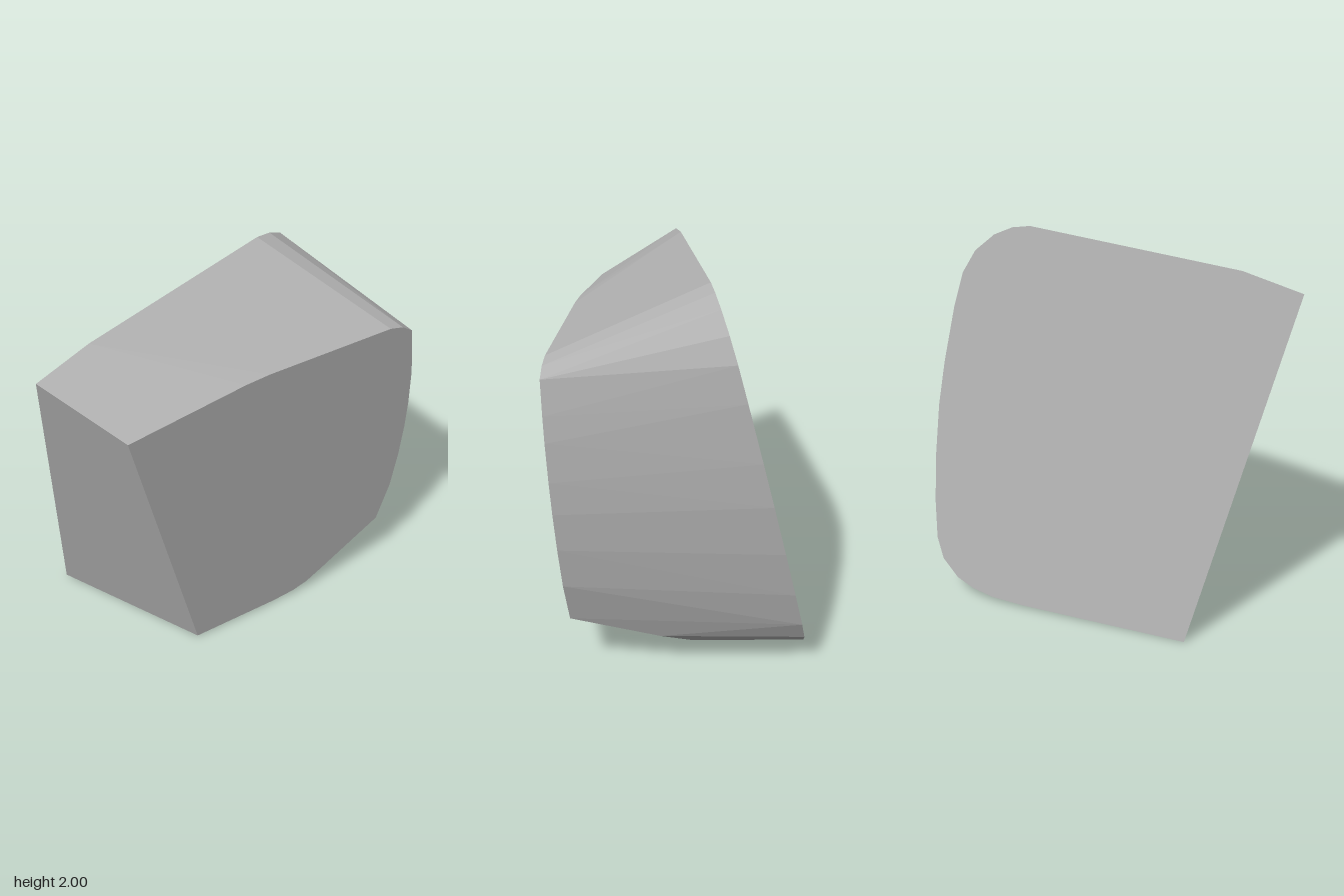
import * as THREE from 'three';
import { ConvexGeometry } from 'three/addons/geometries/ConvexGeometry.js';

// Slanted planes that carry the two flat faces
const frontZ = (x, y) => 0.64 + 0.1 * (x - 0.895) + 0.064 * (y - 1.67);
const backZ = (x, y) => -0.5527 - 0.1617 * x + 0.2468 * y;

// Lifts an outline of [x, y] pairs onto a plane
const onPlane = (outline, z) => outline.map(([x, y]) => new THREE.Vector3(x, y, z(x, y)));

export function createModel() {
  const group = new THREE.Group();
  group.name = 'stoneChunk';
  const stone = new THREE.MeshStandardMaterial({ color: 0xb0b0b0 });
  stone.name = 'stone grey';

  // Front face, clockwise from the upper left corner
  const front = onPlane([
    [-0.76, 1.595], [-0.12, 1.7], [0.02, 1.713], [0.75, 1.728], [0.83, 1.71], [0.895, 1.67],
    [0.93, 1.5], [0.95, 1.37], [0.966, 1.17], [0.97, 1.0], [0.963, 0.8], [0.94, 0.58], [0.88, 0.35],
    [0.52, 0.12], [0.42, 0.06], [0.33, 0.033], [0.2, 0.02], [-0.31, 0.01],
  ], frontZ);

  // Back face, with rounded corners on the +x side
  const back = onPlane([
    [-0.98, 1.8], [-0.66, 1.88], [0.5, 2.0], [0.6, 1.985], [0.7, 1.94], [0.8, 1.85], [0.86, 1.73],
    [0.89, 1.55], [0.915, 1.25], [0.922, 1.02], [0.91, 0.75], [0.885, 0.5], [0.85, 0.3], [0.8, 0.19],
    [0.7, 0.1], [0.6, 0.057], [0.48, 0.03], [0.3, 0.018], [-0.62, 0],
  ], backZ);

  // Worn lower edge between the two faces
  const wear = [[0.83, 0.21, 0.1], [0.75, 0.13, -0.05], [0.64, 0.07, -0.1], [0.48, 0.03, -0.12]]
    .map((p) => new THREE.Vector3(...p));

  const chunk = new THREE.Mesh(new ConvexGeometry([...front, ...back, ...wear]), stone);
  chunk.name = 'chunk';
  group.add(chunk);
  return group;
}
